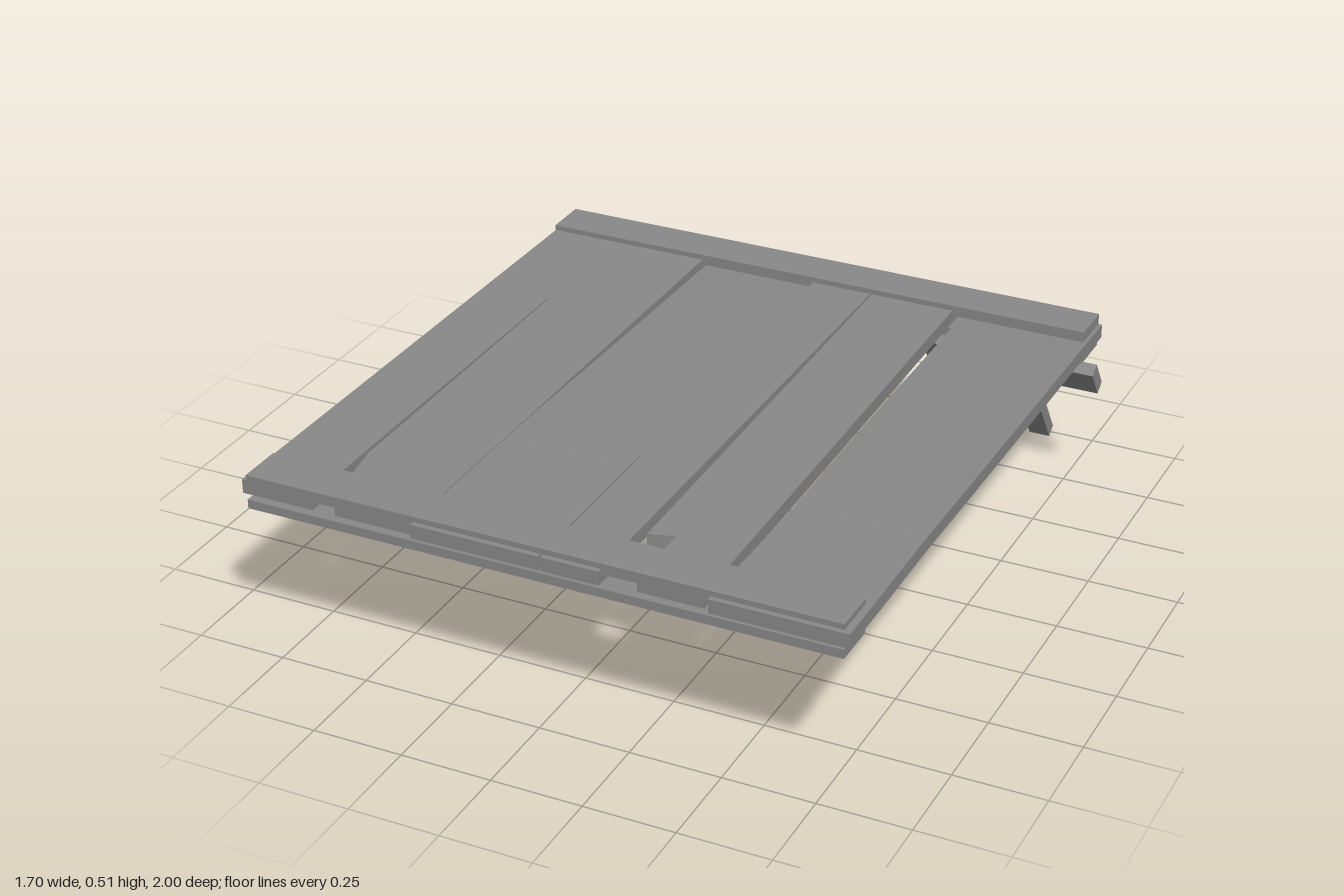
import * as THREE from 'three';

const material = new THREE.MeshStandardMaterial({ color: 0x888888, flatShading: true });
const THICK = 0.039;
const TOP = 0.498;

export function createModel() {
  const group = new THREE.Group();

  function add(name, geometry, x = 0, y = 0, z = 0) {
    const mesh = new THREE.Mesh(geometry, material);
    mesh.name = name;
    mesh.position.set(x, y, z);
    group.add(mesh);
    return mesh;
  }

  // Board given by rows of [z, left edge x, right edge x, top y], back to front
  function rowPlank(name, rows) {
    const n = rows.length - 1;
    const box = new THREE.BoxGeometry(1, 1, 1, 1, 1, n);
    const p = box.attributes.position;
    for (let i = 0; i < p.count; i++) {
      const [z, x0, x1, top] = rows[Math.round((p.getZ(i) + 0.5) * n)];
      p.setXYZ(i, p.getX(i) < 0 ? x0 : x1, p.getY(i) > 0 ? top : top - THICK, z);
    }
    const geometry = box.toNonIndexed();
    geometry.computeVertexNormals();
    add(name, geometry);
  }

  // Flat board cut from an outline of [x, z] points
  function cutPlank(name, outline) {
    const shape = new THREE.Shape(outline.map(([x, z]) => new THREE.Vector2(x, -z)));
    const geometry = new THREE.ExtrudeGeometry(shape, { depth: THICK, bevelEnabled: false });
    geometry.rotateX(-Math.PI / 2);
    add(name, geometry, 0, TOP - THICK, 0);
  }

  // Deck boards: split, sagging, straight, broken, sagging
  cutPlank('splitPlank', [
    [-0.825, -0.805], [-0.84, 0.985], [-0.635, 0.985], [-0.633, -0.25], [-0.629, -0.25],
    [-0.624, 0.73], [-0.607, 0.83], [-0.57, 0.985], [-0.347, 0.985], [-0.349, -0.812],
  ]);
  rowPlank('saggingPlank', [
    [-0.825, -0.375, -0.003, 0.468], [-0.2, -0.358, 0.003, 0.481],
    [0.5, -0.345, 0.009, TOP], [1, -0.344, 0.011, TOP],
  ]);
  rowPlank('narrowPlank', [[-0.828, -0.003, 0.175, TOP], [1, 0.017, 0.175, TOP]]);
  cutPlank('brokenPlank', [
    [0.178, -0.815], [0.2, 0.79], [0.27, 0.77], [0.27, 0.985], [0.447, 0.985], [0.42, -0.815],
  ]);
  rowPlank('saggingSidePlank', [
    [-0.825, 0.435, 0.81, 0.468], [-0.65, 0.441, 0.811, 0.471], [0.2, 0.459, 0.82, 0.49],
    [0.5, 0.47, 0.823, TOP], [1, 0.465, 0.827, TOP],
  ]);

  // Cross battens above and below both ends
  for (const [end, z] of [['front', 0.922], ['back', -0.735]]) {
    add(end + 'TopBatten', new THREE.BoxGeometry(1.635, 0.03, 0.127), -0.01, 0.498, z);
    add(end + 'BottomBatten', new THREE.BoxGeometry(1.635, 0.025, 0.127), -0.01, 0.43, z);
  }

  // Leaning props, each with a short cleat
  for (const [name, cleatX, legX, lean] of [
    ['right', -0.6, -0.599, 0.036], ['middle', 0, -0.002, 0.025], ['left', 0.597, 0.599, 0.003],
  ]) {
    add(name + 'Cleat', new THREE.BoxGeometry(0.505, 0.097, 0.038), cleatX, 0.371, -0.688)
      .rotation.x = 0.61;
    add(name + 'Leg', new THREE.BoxGeometry(0.06, 0.49, 0.036), legX, 0.212, -0.845)
      .rotation.set(0.61, 0, -Math.asin(lean / 0.49));
  }
  return group;
}
